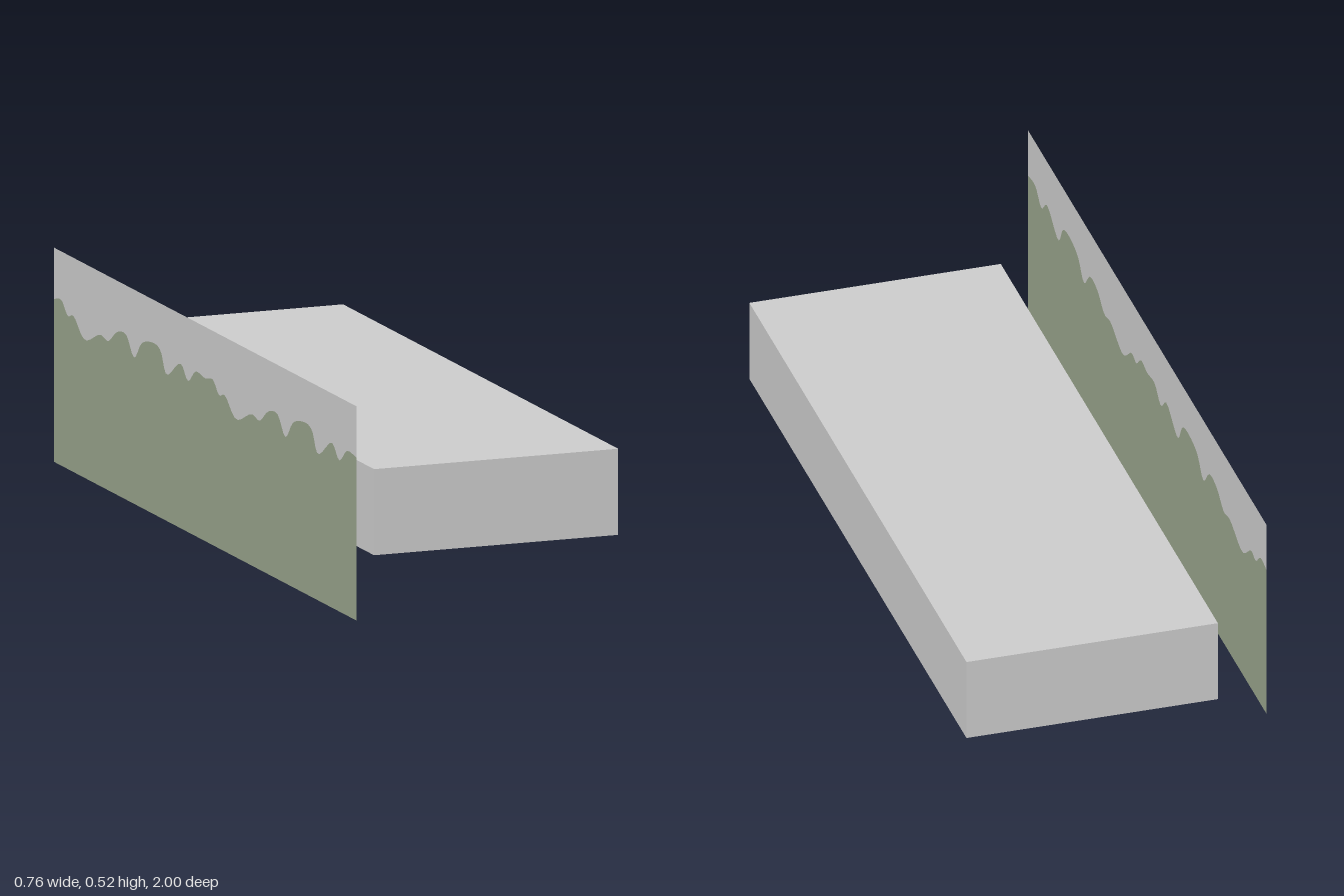
import * as THREE from 'three';

const grey = new THREE.MeshStandardMaterial({ color: 0xcccccc, side: THREE.DoubleSide });
grey.name = 'plainGrey';
const green = new THREE.MeshStandardMaterial({ color: 0x98a38b, side: THREE.DoubleSide });
green.name = 'foliageGreen';

export function createModel() {
  const model = new THREE.Group();
  const add = (name, geometry, material = grey) => {
    const mesh = new THREE.Mesh(geometry, material);
    mesh.name = name;
    model.add(mesh);
    return mesh;
  };
  const polygon = (points) => new THREE.Shape(points.map(([a, b]) => new THREE.Vector2(a, b)));
  const rect = (a0, a1, b0, b1) => polygon([[a0, b0], [a1, b0], [a1, b1], [a0, b1]]);

  // Upright sheets: across x at a given z, or along z at a given x
  const wallX = (name, z, x0, x1, y0, y1, material) =>
    add(name, new THREE.ShapeGeometry(rect(x0, x1, y0, y1)).translate(0, 0, z), material);
  const sheetZ = (name, x, shape, material) =>
    add(name, new THREE.ShapeGeometry(shape).rotateY(Math.PI / 2).translate(x, 0, 0), material);
  const wallZ = (name, x, z0, z1, y0, y1, windows = []) => {
    const shape = rect(-z1, -z0, y0, y1);
    for (const [a, b] of windows) shape.holes.push(rect(-b, -a, 0.16, 0.26));
    return sheetZ(name, x, shape);
  };
  // Level sheet from an outline in x and z
  const level = (name, y, points) =>
    add(name, new THREE.ShapeGeometry(polygon(points.map(([x, z]) => [x, -z])))
      .rotateX(-Math.PI / 2).translate(0, y, 0));

  // Outer shell, open underneath
  const X0 = -0.242, X1 = 0.382, Z0 = -1, Z1 = 0.762, Y0 = 0.1, Y1 = 0.309;
  const windows = [[-0.55, -0.2], [-0.1, 0.25], [0.35, 0.65]];
  level('roof', Y1, [[X0, Z1], [X1, Z1], [X1, Z0], [X0, Z0]]);
  wallX('frontWall', Z1, X0, X1, Y0, Y1);
  wallX('backWall', Z0, X0, X1, Y0, Y1);
  wallZ('leftWall', X1, Z0, Z1, Y0, Y1);
  wallZ('windowWall', X0, Z0, Z1, Y0, Y1, windows);

  // T-shaped floor with a passage at the back and a small front door step
  const x0 = -0.226, x1 = 0.363, z1 = 0.733, zp = -0.81, p0 = -0.07, p1 = 0.2;
  level('floor', Y0 + 0.001, [
    [x0, z1], [0.03, z1], [0.03, z1 + 0.015], [0.12, z1 + 0.015], [0.12, z1], [x1, z1],
    [x1, zp], [p1, zp], [p1, -0.99], [p0, -0.99], [p0, zp], [x0, zp],
  ]);

  // Inner room walls
  const top = Y1 - 0.005;
  wallZ('innerLeftWall', x1, zp, z1, Y0, top);
  wallZ('innerWindowWall', x0, zp, z1, Y0, top, windows);
  wallX('innerFrontWall', z1, x0, x1, Y0, top);
  wallX('rightPartition', zp, x0, p0, Y0, top);
  wallX('leftPartition', zp, p1, x1, Y0, top);
  for (const x of [p0, p1]) wallZ('passageWall', x, -0.99, zp, Y0, top);

  // Green panel with slim posts on the left partition
  wallX('partitionPanel', zp - 0.004, 0.24, 0.31, Y0, top, green);
  for (const x of [0.235, 0.315]) {
    add('panelPost', new THREE.BoxGeometry(0.012, top - Y0, 0.016))
      .position.set(x, (Y0 + top) / 2, zp - 0.008);
  }

  // Backdrop: the tree line repeats twice along its length
  const wave = [
    [0, 0.395], [0.06, 0.4], [0.11, 0.367], [0.16, 0.4], [0.245, 0.355], [0.285, 0.405],
    [0.335, 0.415], [0.405, 0.4], [0.455, 0.355], [0.505, 0.4], [0.565, 0.395], [0.62, 0.362],
    [0.675, 0.367], [0.77, 0.335], [0.84, 0.378], [0.88, 0.372], [0.92, 0.402],
  ];
  const period = 0.969, end = 2 * period - 1;
  const knots = [0, 1].flatMap((k) => wave.map(([u, y]) => new THREE.Vector2(u + k * period - 1, y)));
  knots.push(new THREE.Vector2(end, 0.395));
  const line = new THREE.SplineCurve(knots).getPoints(140).map((p) => [p.x, p.y]);
  const xb = -0.382;
  sheetZ('backdropTrees', xb, polygon([[-1, 0], [end, 0], ...[...line].reverse()]), green);
  sheetZ('backdropSky', xb, polygon([...line, [end, 0.52], [-1, 0.52]]));

  return model;
}
